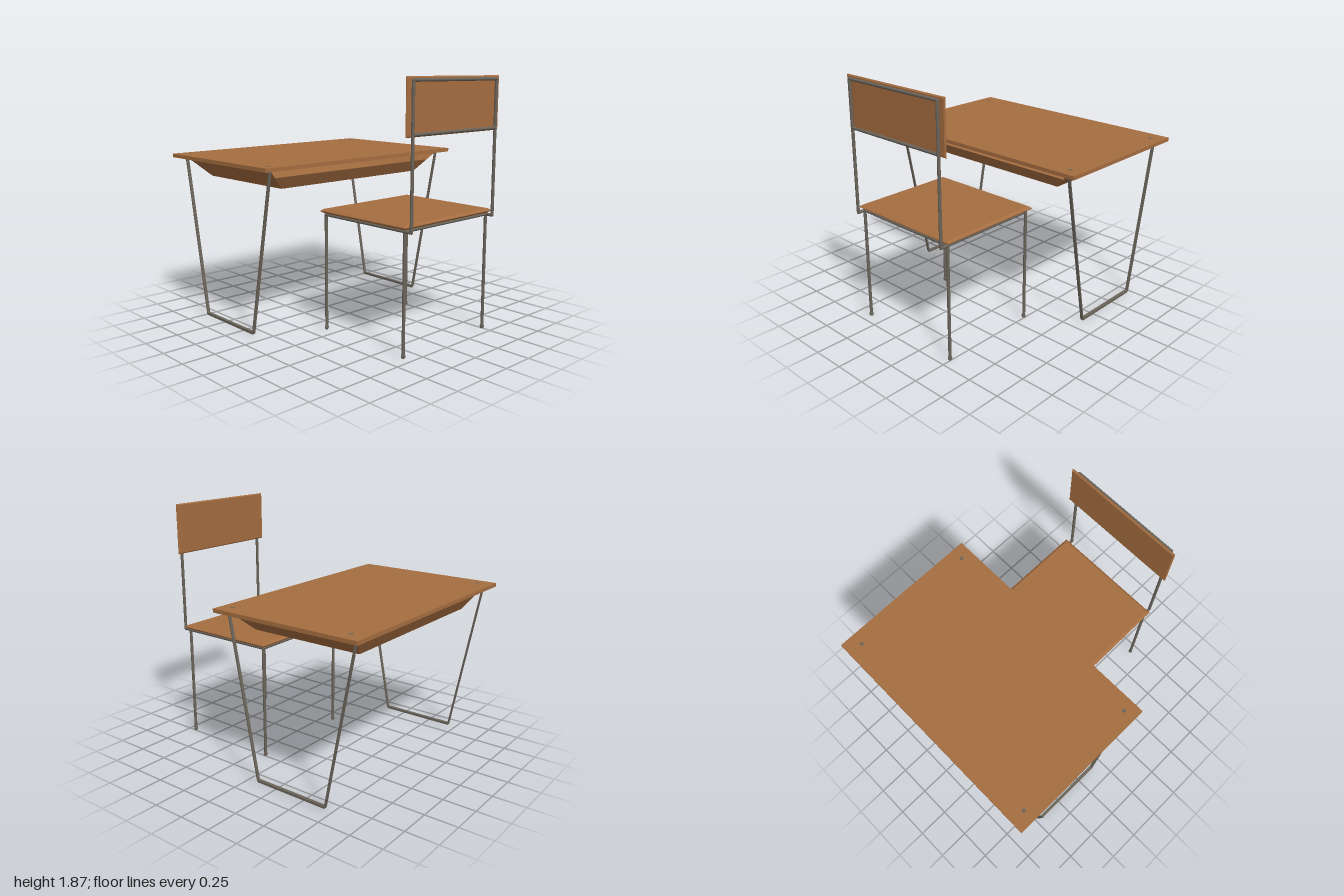
import * as THREE from 'three';
import { ConvexGeometry } from 'three/addons/geometries/ConvexGeometry.js';

const V = (x, y, z) => new THREE.Vector3(x, y, z);

export function createModel() {
  const wood = new THREE.MeshStandardMaterial({ name: 'wood', color: 0xa56d40 });
  const steel = new THREE.MeshStandardMaterial({ name: 'steel', color: 0x6b645a });

  function add(parent, name, geometry, material) {
    const mesh = new THREE.Mesh(geometry, material);
    mesh.name = name;
    parent.add(mesh);
    return mesh;
  }

  // Straight member between two points, with local +y along its length
  function strut(parent, name, a, b, geometryFor) {
    const mesh = add(parent, name, geometryFor(a.distanceTo(b)), steel);
    mesh.position.copy(a).add(b).multiplyScalar(0.5);
    mesh.quaternion.setFromUnitVectors(V(0, 1, 0), b.clone().sub(a).normalize());
    return mesh;
  }

  // Round tube with ball joints at its ends
  const R = 0.0115;
  function rod(parent, name, a, b) {
    strut(parent, name, a, b, (l) => new THREE.CylinderGeometry(R, R, l, 12));
    for (const p of [a, b]) {
      add(parent, name + 'Joint', new THREE.SphereGeometry(R, 12, 8), steel).position.copy(p);
    }
  }

  // Board with a pointed bevel all round, lying in the xy plane
  function bevelBoard(w, h, thick, bevel) {
    const x = w / 2 - bevel, y = h / 2 - bevel, core = thick * 0.15;
    const shape = new THREE.Shape([[-x, -y], [x, -y], [x, y], [-x, y]].map((p) => new THREE.Vector2(...p)));
    const g = new THREE.ExtrudeGeometry(shape, {
      depth: core, bevelEnabled: true, bevelSegments: 1, bevelSize: bevel, bevelThickness: (thick - core) / 2,
    });
    return g.translate(0, 0, -core / 2);
  }

  const model = new THREE.Group();
  model.name = 'deskAndChair';

  // ---- Desk ----
  const desk = new THREE.Group();
  desk.name = 'desk';
  model.add(desk);
  add(desk, 'deskTop', new THREE.BoxGeometry(1.2, 0.028, 1.885), wood).position.set(-0.4, 1.252, -0.0025);

  // Tapered tray; s runs from 0 at its floor to 1 under the top
  const corner = (sx, sz, s, inset) => V(
    -0.3975 + sx * (0.4425 + 0.0925 * s - inset), 1.085 + 0.152 * s, sz * (0.69 + 0.165 * s - inset));
  function trayPanel(name, ends, top) {
    const points = [];
    for (const [sx, sz] of ends) {
      for (const s of [0, top]) for (const inset of [0, 0.016]) points.push(corner(sx, sz, s, inset));
    }
    add(desk, name, new ConvexGeometry(points), wood);
  }
  trayPanel('trayFrontWall', [[-1, 1], [1, 1]], 1);
  trayPanel('trayBackWall', [[-1, -1], [1, -1]], 1);
  trayPanel('trayFarWall', [[-1, -1], [-1, 1]], 1);
  trayPanel('trayLowWall', [[1, -1], [1, 1]], 0.6); // leaves a slot on the seat side
  add(desk, 'trayFloor', new THREE.BoxGeometry(0.875, 0.012, 1.37), wood).position.set(-0.3975, 1.0915, 0);

  // Flat-bar leg frames, one at each end
  for (const z of [0.855, -0.855]) {
    const frame = new THREE.Group();
    frame.name = 'deskLegFrame';
    desk.add(frame);
    const path = [V(-0.93, 1.23, z), V(-0.697, 0.025, z), V(-0.098, 0.025, z), V(0.135, 1.23, z)];
    const bar = (t) => (l) => new THREE.BoxGeometry(t, l, 0.024);
    strut(frame, 'slantedLeg', path[0], path[1], bar(0.009));
    strut(frame, 'footBar', path[1], path[2], bar(0.018));
    strut(frame, 'slantedLeg', path[2], path[3], bar(0.009));
    strut(frame, 'topBar', path[3], path[0], bar(0.014));
    for (const x of [-0.885, 0.11]) {
      add(frame, 'screwHead', new THREE.CylinderGeometry(0.016, 0.016, 0.002, 6), steel)
        .position.set(x, 1.266, z * 0.99);
    }
  }

  // ---- Chair ----
  const chair = new THREE.Group();
  chair.name = 'chair';
  model.add(chair);
  const zs = [0.37, -0.495], zMid = -0.065, railY = 0.873;
  const frontX = 0.155, legX = 0.93, backX = 0.988;

  const seat = add(chair, 'seat', bevelBoard(0.83, 0.925, 0.032, 0.018), wood);
  seat.rotation.x = -Math.PI / 2;
  seat.position.set(0.54, 0.9, zMid);

  const back = add(chair, 'backrest', bevelBoard(0.96, 0.385, 0.018, 0.008), wood);
  back.rotation.y = Math.PI / 2;
  back.position.set(0.968, 1.68, zMid);

  // Legs, side rails and back uprights
  for (const z of zs) {
    for (const x of [frontX, legX]) {
      rod(chair, 'chairLeg', V(x, 0.02, z), V(x, railY, z));
      const foot = add(chair, 'foot', new THREE.SphereGeometry(0.016, 12, 8), steel);
      foot.scale.y = 1.15;
      foot.position.set(x, 0.0184, z);
    }
    rod(chair, 'sideRail', V(frontX, railY, z), V(backX, railY, z));
    rod(chair, 'backUpright', V(backX, railY, z), V(backX, 1.848, z));
  }

  // Cross members
  for (const [x, y] of [[frontX, railY], [legX, railY], [backX, 1.505], [backX, 1.848]]) {
    rod(chair, 'crossRail', V(x, y, zs[0]), V(x, y, zs[1]));
  }
  return model;
}
